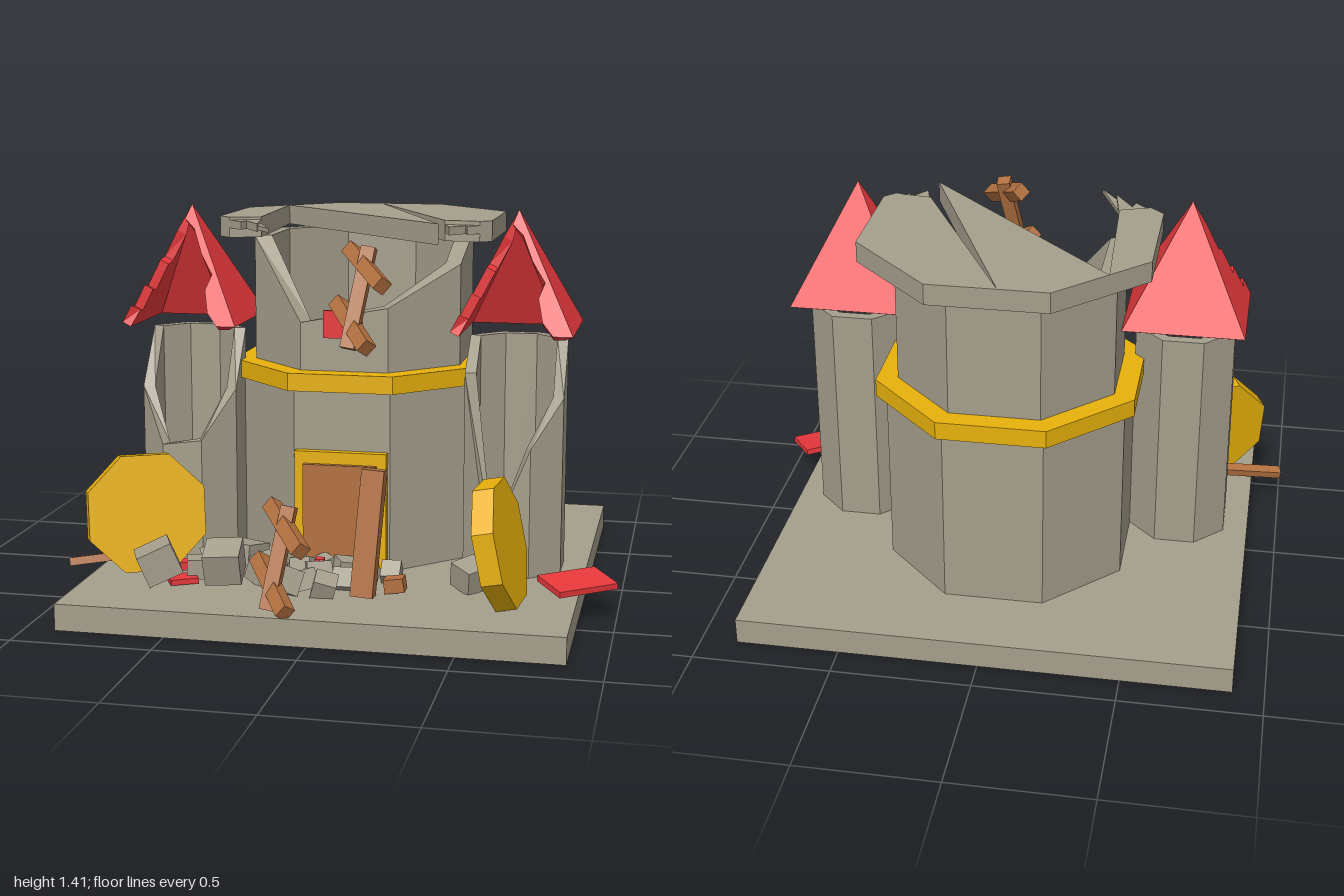
import * as THREE from 'three';

const mat = (name, color, side = THREE.FrontSide) => {
  const m = new THREE.MeshStandardMaterial({ color, side, flatShading: true });
  m.name = name;
  return m;
};

export function createModel() {
  const stone = mat('stone', 0xa59e8c, THREE.DoubleSide), gold = mat('gold', 0xe8b10c);
  const red = mat('roof red', 0xec3a3d), wood = mat('wood', 0xb27040);
  const model = new THREE.Group();
  model.name = 'ruinedCastle';

  const add = (name, geo, material, pos = [0, 0, 0], rot = [0, 0, 0], parent = model) => {
    const m = new THREE.Mesh(geo, material);
    m.name = name;
    m.position.set(...pos);
    m.rotation.set(...rot);
    parent.add(m);
    return m;
  };
  const box = (name, size, material, pos, rot, parent) =>
    add(name, new THREE.BoxGeometry(...size), material, pos, rot, parent);

  // Solid octagon, flat side to the front, a = distance from centre to a side
  const C8 = Math.cos(Math.PI / 8);
  const octagon = (a, h) => new THREE.CylinderGeometry(a / C8, a / C8, h, 8).rotateY(Math.PI / 8);

  // Hollow octagonal wall whose broken top has one height per corner
  const shell = (a, thick, y0, heights) => {
    const pts = [];
    const corner = (i, inner, top) => {
      const k = i % 8, t = (k + 0.5) * Math.PI / 4, r = (a - (inner ? thick : 0)) / C8;
      return [r * Math.sin(t), top ? heights[k] : y0, r * Math.cos(t)];
    };
    const quad = (p, q, r, s) => pts.push(...p, ...q, ...r, ...p, ...r, ...s);
    for (let i = 0; i < 8; i++) {
      const j = i + 1;
      quad(corner(i, 0, 0), corner(j, 0, 0), corner(j, 0, 1), corner(i, 0, 1));
      quad(corner(j, 1, 0), corner(i, 1, 0), corner(i, 1, 1), corner(j, 1, 1));
      quad(corner(i, 0, 1), corner(j, 0, 1), corner(j, 1, 1), corner(i, 1, 1));
    }
    const g = new THREE.BufferGeometry();
    g.setAttribute('position', new THREE.Float32BufferAttribute(pts, 3));
    g.computeVertexNormals();
    return g;
  };

  const plate = (points, depth) => new THREE.ExtrudeGeometry(
    new THREE.Shape(points.map(p => new THREE.Vector2(...p))), { depth, bevelEnabled: false });

  // Moves every vertex by a rule
  const reshape = (geo, rule) => {
    const p = geo.attributes.position;
    for (let i = 0; i < p.count; i++) p.setXYZ(i, ...rule(p.getX(i), p.getY(i), p.getZ(i)));
    geo.computeVertexNormals();
    return geo;
  };

  // Square bar between two points
  const beam = (name, from, to, w, d, parent = model) => {
    const a = new THREE.Vector3(...from), b = new THREE.Vector3(...to);
    const m = box(name, [w, a.distanceTo(b), d], wood, [0, 0, 0], [0, 0, 0], parent);
    m.position.copy(a).add(b).multiplyScalar(0.5);
    m.quaternion.setFromUnitVectors(new THREE.Vector3(0, 1, 0), b.sub(a).normalize());
  };

  // Base: a tray open underneath, so the bottom face is dropped
  const tray = new THREE.BoxGeometry(1.76, 0.095, 1.76);
  const faces = Array.from(tray.index.array);
  faces.splice(18, 6);
  tray.setIndex(faces);
  tray.clearGroups();
  add('base', tray, stone, [-0.01, 0.0475, -0.01]);

  // Main tower
  const cx = -0.01, cz = -0.18;
  add('keepBody', octagon(0.43, 0.67), stone, [cx, 0.43, cz]);
  add('keepRing', octagon(0.465, 0.065), gold, [cx, 0.7925, cz]);
  add('keepUpperWall', shell(0.39, 0.06, 0.82, [1.06, 1.2, 1.29, 1.29, 1.29, 1.29, 1.29, 1.0]), stone, [cx, 0, cz]);

  // Broken battlement slab in plan (x, z), with thin splinters at its front
  const slabs = [
    ['rightCapSlab', [[-0.52, 0.03], [-0.47, 0.08], [-0.36, 0.04], [-0.39, -0.52], [-0.52, -0.39]], 1.29, 0.075],
    ['middleCapSlab', [[-0.39, -0.52], [0.33, 0.2], [-0.045, -0.69], [-0.22, -0.69]], 1.29, 0.075],
    ['leftCapSlab', [[-0.045, -0.69], [0.33, 0.05], [0.43, 0.06], [0.46, 0.07], [0.5, 0.03], [0.5, -0.39], [0.2, -0.69]],
      1.29, 0.075],
    ['rightSplinter', [[-0.48, 0.07], [-0.41, 0.14], [-0.4, 0.1], [-0.33, 0.21], [-0.36, 0.03]], 1.325, 0.03],
    ['rightSplinter', [[-0.41, 0.08], [-0.27, 0.28], [-0.36, 0.06]], 1.33, 0.015],
    ['leftSplinter', [[0.47, 0.06], [0.42, 0.11], [0.41, 0.08], [0.36, 0.15], [0.33, 0.04]], 1.32, 0.03],
  ];
  for (const [name, pts, y, depth] of slabs)
    add(name, plate(pts.map(([x, z]) => [x, -z]), depth).rotateX(-Math.PI / 2), stone, [0, y, 0]);

  // Door and the small plaque above it
  box('doorFrame', [0.34, 0.445, 0.035], gold, [-0.01, 0.317, 0.265]);
  box('door', [0.27, 0.4, 0.025], wood, [-0.01, 0.295, 0.29]);
  box('plaque', [0.14, 0.1, 0.02], red, [-0.01, 1.0, 0.23]);

  // Side towers with hollow, broken roofs
  const rise = 0.425, L = Math.hypot(0.22, rise), tilt = -Math.atan(0.22 / rise);
  const full = [[-0.22, 0], [0.22, 0], [0, L]];
  const panels = [
    ['roofBack', full, Math.PI],
    ['roofLeft', full, Math.PI / 2],
    ['roofRight', [[-0.22, 0], [0.18, 0], [0.175, 0.07], [0.12, 0.06], [0.12, 0.15], [0.07, 0.14], [0.07, 0.25],
      [0.03, 0.26], [0.03, 0.37], [0, L]], -Math.PI / 2],
    ['roofFront', [[0.22, 0], [0, L], [-0.02, 0.42], [0.02, 0.38], [0.06, 0.28], [0.11, 0.2], [0.09, 0.14],
      [0.11, 0.05], [0.15, 0]], 0],
  ];
  const towers = [
    ['rightTower', -0.62, [0.55, 0.73, 0.94, 0.94, 0.94, 0.94, 0.73, 0.53]],
    ['leftTower', 0.6, [0.57, 0.74, 0.94, 0.94, 0.94, 0.94, 0.82, 0.2]],
  ];
  for (const [name, x, heights] of towers) {
    const tower = new THREE.Group();
    tower.name = name;
    tower.position.set(x, 0, 0.055);
    model.add(tower);
    add('towerWall', shell(0.18, 0.04, 0.09, heights), stone, [0, 0, 0], [0, 0, 0], tower);
    for (const [part, pts, turn] of panels) {
      // the inner side is mitred so that neighbouring panels meet on the ridges
      const g = plate(pts, 0.035).translate(0, 0, -0.035).rotateX(tilt).translate(0, 0.985, 0.22);
      reshape(g, (px, py, pz) => {
        const z = Math.max(pz, 0);
        return [THREE.MathUtils.clamp(px, -z, z), py, z];
      });
      add(part, g.rotateY(turn), red, [0, 0, 0], [0, 0, 0], tower);
    }
  }

  // Fallen golden discs leaning on the towers
  const disc = (name, pos, normal) => {
    const m = add(name, octagon(0.212, 0.075), gold, pos);
    const n = new THREE.Vector3(...normal).normalize();
    const side = new THREE.Vector3(0, 1, 0).cross(n).normalize();
    m.quaternion.setFromRotationMatrix(new THREE.Matrix4().makeBasis(side, n, side.clone().cross(n)));
  };
  disc('rightDisc', [-0.71, 0.31, 0.4], [0.45, 0.15, 0.89]);
  disc('leftDisc', [0.61, 0.31, 0.56], [0.97, 0.2, 0.08]);

  // Wooden lattices: one post with two slats
  [[0.1, 1.13, 0.47], [-0.12, 0.27, 0.75]].forEach((pos, i) => {
    const g = new THREE.Group();
    g.name = i ? 'fallenLattice' : 'hangingLattice';
    g.position.set(...pos);
    model.add(g);
    beam('post', [-0.03, -0.17, 0.05], [0.025, 0.17, -0.05], 0.05, 0.05, g);
    beam('upperSlat', [-0.055, 0.155, -0.12], [0.1, 0.055, 0.1], 0.05, 0.05, g);
    beam('lowerSlat', [-0.095, -0.03, -0.09], [0.05, -0.155, 0.12], 0.05, 0.05, g);
  });
  beam('leaningBeam', [0.135, 0.1, 0.58], [0.165, 0.54, 0.52], 0.08, 0.07);
  beam('looseBeam', [-1.0, 0.112, 0.42], [-0.6, 0.16, 0.32], 0.03, 0.04);
  beam('woodScrap', [0.2, 0.12, 0.5], [0.27, 0.13, 0.5], 0.05, 0.06);
  beam('woodScrap', [-0.26, 0.13, 0.36], [-0.14, 0.16, 0.32], 0.05, 0.05);
  beam('woodScrap', [0.55, 0.13, 0.36], [0.59, 0.18, 0.33], 0.04, 0.04);

  // Fallen roof pieces
  box('roofSlab', [0.235, 0.022, 0.16], red, [0.86, 0.127, 0.35], [0.15, 0.62, -0.07]);
  box('roofShard', [0.1, 0.02, 0.08], red, [-0.53, 0.11, 0.54], [0, 0.5, 0]);
  box('roofShard', [0.08, 0.03, 0.06], red, [-0.55, 0.12, 0.38], [0, 0.3, 0.1]);
  box('roofShard', [0.035, 0.03, 0.035], red, [-0.06, 0.16, 0.4], [0, 0.1, 0]);

  // Rubble: x, y, z, size
  const rubble = [
    [-0.61, 0.18, 0.57, 0.13], [-0.37, 0.19, 0.56, 0.13], [-0.45, 0.15, 0.36, 0.09], [-0.34, 0.16, 0.38, 0.12],
    [-0.18, 0.15, 0.38, 0.1], [-0.15, 0.14, 0.58, 0.1], [-0.05, 0.14, 0.46, 0.09], [0.0, 0.13, 0.59, 0.08],
    [0.06, 0.13, 0.5, 0.08], [-0.24, 0.14, 0.47, 0.1], [0.49, 0.15, 0.42, 0.1], [0.03, 0.13, 0.36, 0.08],
    [-0.49, 0.14, 0.48, 0.08], [0.2, 0.13, 0.38, 0.07], [-0.11, 0.14, 0.42, 0.08], [-0.28, 0.13, 0.31, 0.08],
    [-0.06, 0.13, 0.34, 0.07], [-0.09, 0.13, 0.53, 0.08], [-0.4, 0.13, 0.46, 0.08], [0.11, 0.13, 0.37, 0.07],
  ];
  rubble.forEach(([x, y, z, s], i) =>
    box('rubble', [s, s * 0.9, s], stone, [x, y, z], [0.4 * Math.sin(i * 2.1), i * 1.3 + 0.4, 0.4 * Math.cos(i * 1.7)]));

  return model;
}
